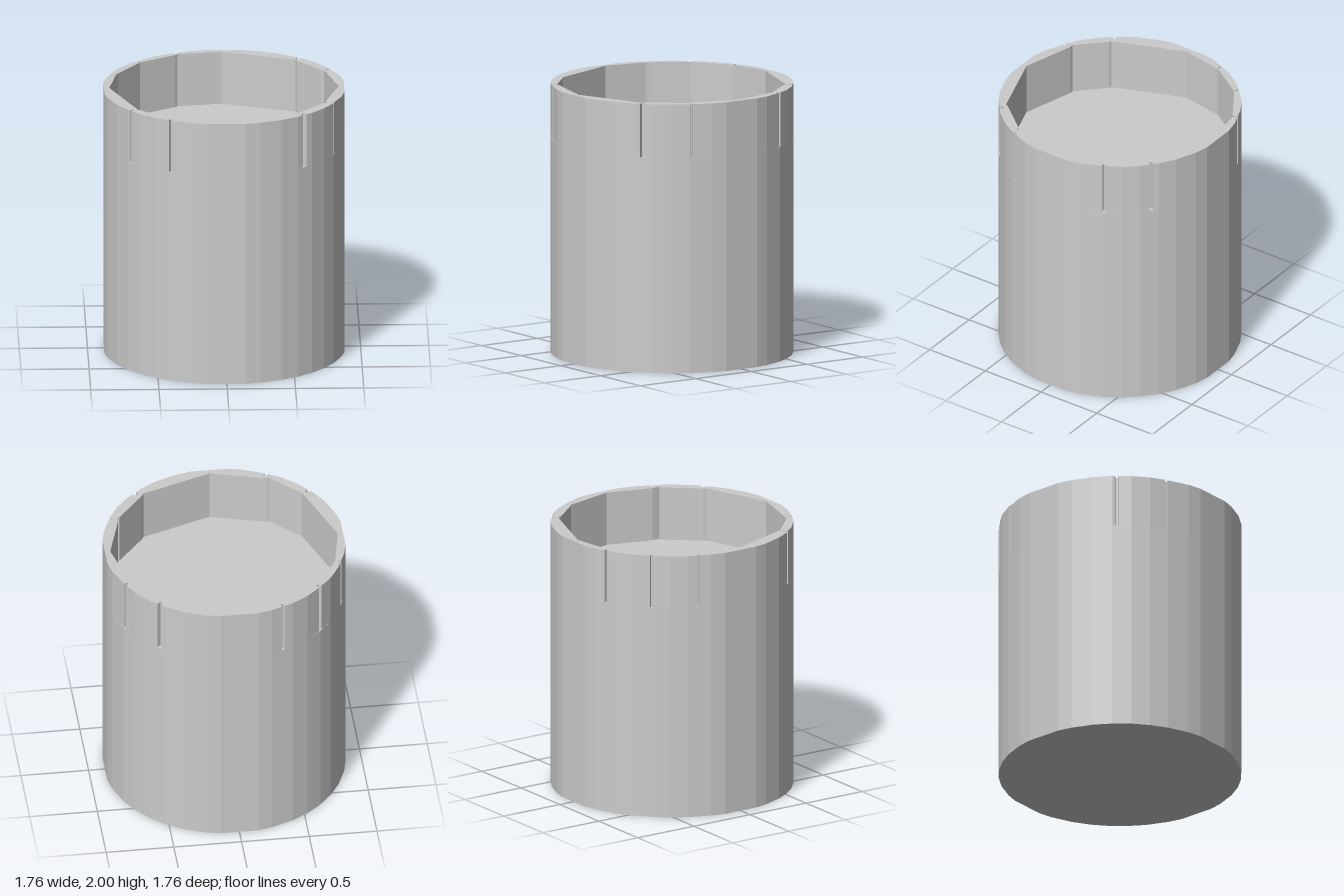
import * as THREE from 'three';

const R = 0.89, H = 2, FLOOR = 1.6;

// Plan-view shape coordinates: y of the shape is -z of the model
const polar = (r, deg) => {
  const a = THREE.MathUtils.degToRad(deg);
  return new THREE.Vector2(r * Math.cos(a), -r * Math.sin(a));
};

// Facet corners of the outer wall, repeated per quadrant
const corners = [];
for (let q = 0; q < 4; q++) {
  for (const a of [9, 16, 27, 36, 45, 54, 63, 74, 81]) corners.push({ r: R, a: a + q * 90 });
}

// Narrow upright slits round the rim: angle and half width in degrees
const slits = [
  [26, 0.4], [49.6, 1.2], [117.7, 0.8], [142, 0.8], [202, 0.6],
  [224.5, 0.9], [248, 0.8], [309.6, 1.1], [332.3, 0.8],
];

function rimOutline() {
  const pts = corners.filter(c => slits.every(([s, w]) => Math.abs(s - c.a) > w + 0.4));
  for (const [s, w] of slits) {
    pts.push({ r: 0.885, a: s - w }, { r: 0.855, a: s - 0.7 * w },
      { r: 0.855, a: s + 0.7 * w }, { r: 0.885, a: s + w });
  }
  return pts.sort((p, q) => p.a - q.a).map(p => polar(p.r, p.a));
}

// Irregular inner wall of the recess, as x, z pairs; wound against the outline
const inner = [
  [0.84, 0], [0.74, 0.34], [0.74, 0.40], [0.72, 0.40], [0.52, 0.64], [0.51, 0.66],
  [0, 0.84], [-0.40, 0.73], [-0.43, 0.73], [-0.62, 0.54], [-0.64, 0.53], [-0.84, 0],
  [-0.78, -0.32], [-0.77, -0.34], [-0.60, -0.60], [-0.34, -0.77], [-0.32, -0.79],
  [0, -0.84], [0.54, -0.64], [0.55, -0.61], [0.72, -0.40], [0.74, -0.39],
].map(([x, z]) => new THREE.Vector2(x, -z)).reverse();

function upright(name, shape, y0, y1, material) {
  const geo = new THREE.ExtrudeGeometry(shape, { depth: y1 - y0, bevelEnabled: false });
  geo.rotateX(-Math.PI / 2);
  geo.translate(0, y0, 0);
  const mesh = new THREE.Mesh(geo, material);
  mesh.name = name;
  return mesh;
}

export function createModel() {
  const group = new THREE.Group();
  group.name = 'cup';
  const material = new THREE.MeshStandardMaterial({ color: 0xcccccc, flatShading: true });

  // Solid body, its top face is the floor of the recess
  const body = new THREE.Shape(corners.map(c => polar(c.r, c.a)));
  group.add(upright('body', body, 0, FLOOR, material));

  // Thin slit rim around the recess
  const rim = new THREE.Shape(rimOutline());
  rim.holes.push(new THREE.Path(inner));
  group.add(upright('rim', rim, FLOOR, H, material));

  return group;
}
